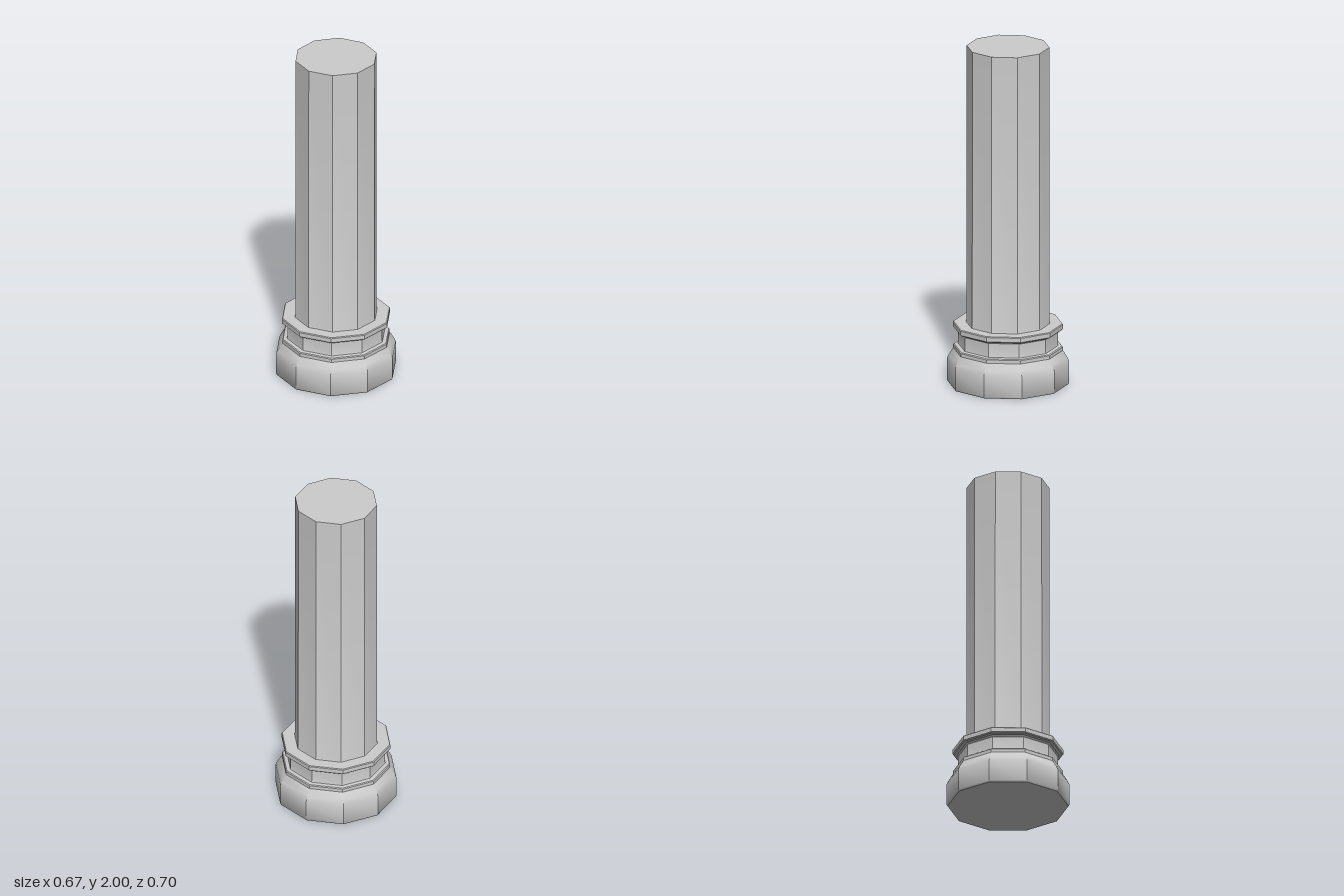
import * as THREE from 'three';
import { toCreasedNormals } from 'three/addons/utils/BufferGeometryUtils.js';

const SIDES = 10;

export function createModel() {
  const group = new THREE.Group();
  group.name = 'column';
  const material = new THREE.MeshStandardMaterial({ color: 0xcccccc });

  // Turns a [radius, height] profile into a ten-sided solid with crisp corners
  const addTurned = (name, profile) => {
    const points = profile.map(([r, y]) => new THREE.Vector2(r, y));
    const geometry = toCreasedNormals(new THREE.LatheGeometry(points, SIDES), 0.55);
    const mesh = new THREE.Mesh(geometry, material);
    mesh.name = name;
    group.add(mesh);
  };

  // Plinth, stepped neck and collar in one continuous profile
  addTurned('base', [
    [0, 0], [0.345, 0], [0.35, 0.008], [0.35, 0.137],
    [0.338, 0.162], [0.319, 0.193], [0.314, 0.2],
    [0.314, 0.22], [0.309, 0.225], [0.287, 0.228],
    [0.285, 0.235], [0.285, 0.31], [0.292, 0.32],
    [0.31, 0.322], [0.316, 0.328], [0.316, 0.353], [0.312, 0.358], [0, 0.358],
  ]);

  // Slightly tapered shaft with a flat top
  addTurned('shaft', [
    [0.243, 0.35], [0.238, 0.37], [0.237, 2], [0, 2],
  ]);

  return group;
}
